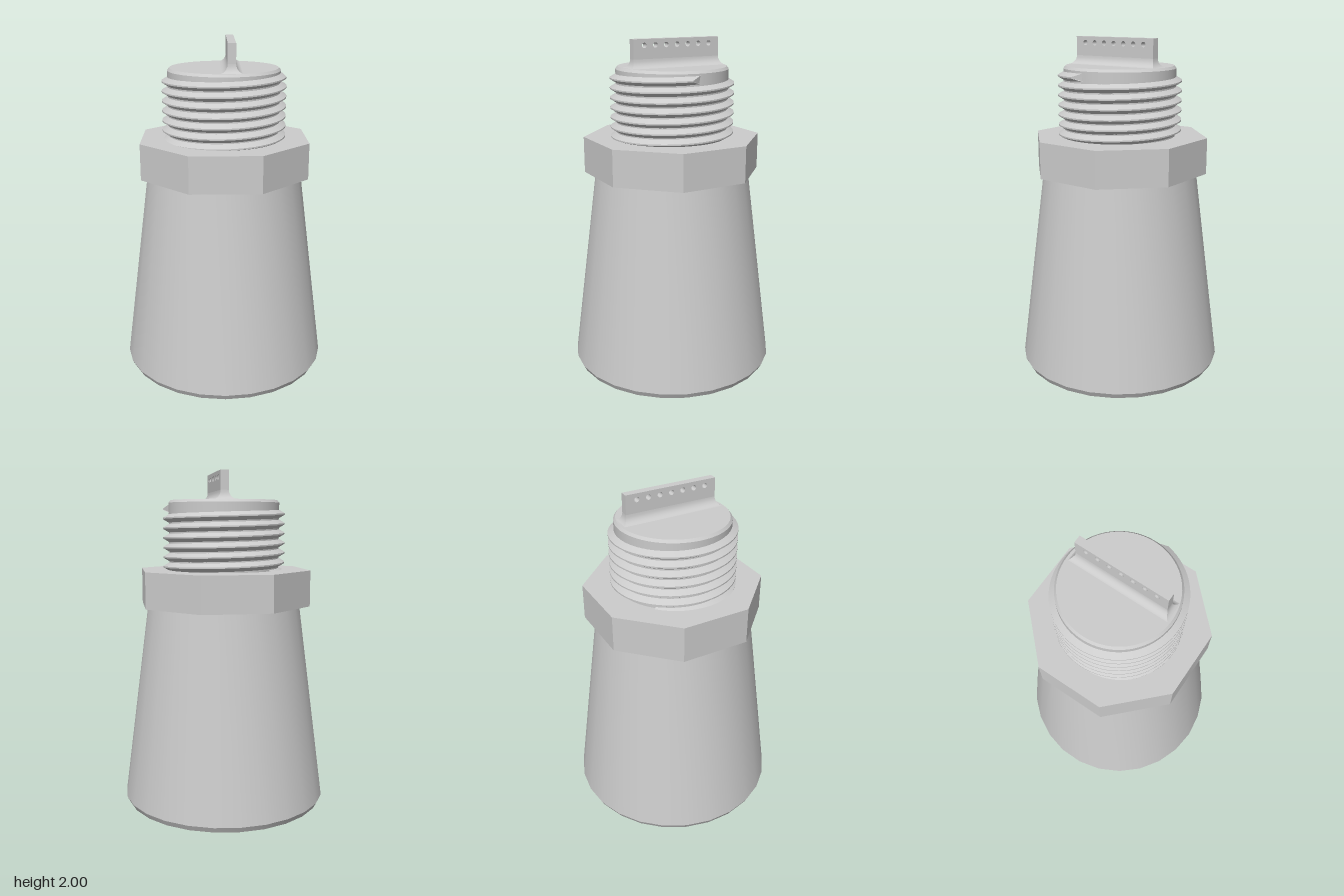
import * as THREE from 'three';
import { toCreasedNormals } from 'three/addons/utils/BufferGeometryUtils.js';

const grey = new THREE.MeshStandardMaterial({ color: 0xcccccc });

function part(name, geometry, parent) {
  const mesh = new THREE.Mesh(geometry, grey);
  mesh.name = name;
  parent.add(mesh);
  return mesh;
}

// Revolve a [radius, y] profile, listed from the bottom centre outward and up
function revolve(profile, sides, start = 0) {
  const points = profile.map(([r, y]) => new THREE.Vector2(r, y));
  return toCreasedNormals(new THREE.LatheGeometry(points, sides, start), 0.3);
}

// Closed solid through a row of equal-sized loops, with flat end caps
function skin(rings, crease) {
  const n = rings[0].length;
  const index = [];
  for (let j = 0; j < rings.length - 1; j++) {
    for (let i = 0; i < n; i++) {
      const a = j * n + i, b = j * n + (i + 1) % n;
      index.push(a, b, b + n, a, b + n, a + n);
    }
  }
  const last = (rings.length - 1) * n;
  for (let i = 1; i < n - 1; i++) {
    index.push(0, i + 1, i, last, last + i, last + i + 1);
  }
  const geometry = new THREE.BufferGeometry();
  geometry.setAttribute('position', new THREE.Float32BufferAttribute(rings.flat(2), 3));
  geometry.setIndex(index);
  return toCreasedNormals(geometry, crease);
}

// Right-handed helical ridge; its upper end is cut on a slant
function threadGeometry() {
  const pitch = 0.057, end = 0.75, turns = 6.6, perTurn = 72;
  const section = [[0.31, -0.0275], [0.31, 0.0275], [0.326, 0.0265], [0.364, 0.004],
    [0.364, -0.004], [0.326, -0.0265]];
  const steps = Math.round(turns * perTurn);
  const rings = [];
  for (let k = 0; k <= steps; k++) {
    rings.push(section.map(([r, dy]) => {
      const slant = k === steps ? (0.364 - r) * 5 : 0;
      const t = end - (steps - k) / perTurn * Math.PI * 2 + slant;
      const y = 1.782 + pitch * t / (Math.PI * 2);
      return [r * Math.cos(t), y + dy, -r * Math.sin(t)];
    }));
  }
  return skin(rings, 0.4);
}

const keyOffset = -0.038;

// Flared foot of the key: rectangles shrinking along a quarter-round,
// with corners kept inside the round top of the neck
function footGeometry() {
  const steps = 6;
  const rings = [];
  for (let k = 0; k <= steps; k++) {
    const a = k / steps * Math.PI / 2;
    const flare = 1 - Math.sin(a);
    const y = 1.838 + 0.052 * (1 - Math.cos(a));
    const x = 0.277 + 0.036 * flare, z = 0.023 + 0.05 * flare;
    const corners = [[1, 1], [1, -1], [-1, -1], [-1, 1]];
    rings.push(corners.map(([sx, sz]) => {
      const limit = Math.sqrt(0.316 ** 2 - (sz * z + keyOffset) ** 2);
      return [sx * Math.min(x, limit), y, sz * z];
    }));
  }
  return skin(rings, 0.5);
}

// Upright plate with a row of through holes
function plateGeometry() {
  const shape = new THREE.Shape();
  shape.moveTo(-0.277, 1.89).lineTo(0.277, 1.89).lineTo(0.277, 2).lineTo(-0.277, 2).closePath();
  for (let i = -3; i <= 3; i++) {
    shape.holes.push(new THREE.Path().absarc(i * 0.07, 1.965, 0.015, 0, Math.PI * 2, true));
  }
  const geometry = new THREE.ExtrudeGeometry(shape, { depth: 0.046, bevelEnabled: false, curveSegments: 16 });
  return geometry.translate(0, 0, -0.023);
}

export function createModel() {
  const model = new THREE.Group();
  model.name = 'threadedPlug';

  // Tapered body with a chamfered rim and a recessed base
  part('taperedBody', revolve([
    [0, 0.04], [0.53, 0.04], [0.553, 0], [0.58, 0],
    [0.598, 0.008], [0.616, 0.042], [0.46, 1.225], [0, 1.225],
  ], 26, -0.033), model);

  // Eight-sided nut
  const nut = new THREE.CylinderGeometry(0.525, 0.525, 0.213, 8, 1, false, 0.545);
  part('octagonalNut', toCreasedNormals(nut, 0.3), model).position.y = 1.324;

  // Neck with a chamfered top, wrapped by the thread
  part('neck', revolve([
    [0, 1.4], [0.328, 1.4], [0.33, 1.825], [0.318, 1.84], [0, 1.84],
  ], 72), model);
  part('screwThread', threadGeometry(), model);

  // Key set diagonally across the top, slightly off centre
  const angle = -0.636;
  const key = new THREE.Group();
  key.name = 'turningKey';
  key.position.set(keyOffset * Math.sin(angle), 0, keyOffset * Math.cos(angle));
  key.rotation.y = angle;
  part('keyFoot', footGeometry(), key);
  part('keyPlate', plateGeometry(), key);
  model.add(key);

  return model;
}
